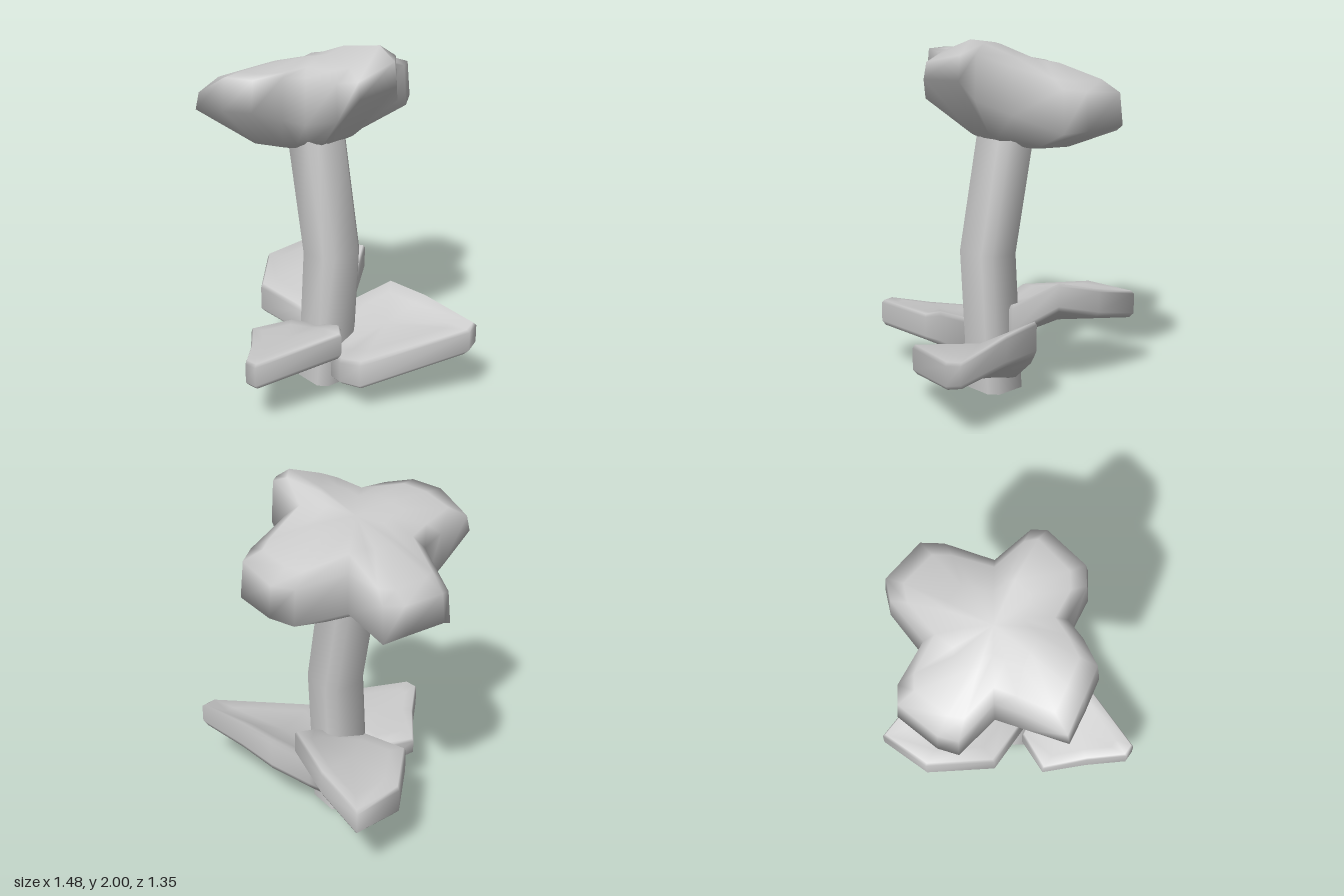
import * as THREE from 'three';
import { toCreasedNormals } from 'three/addons/utils/BufferGeometryUtils.js';

const lerp = THREE.MathUtils.lerp;
const material = new THREE.MeshStandardMaterial({ color: 0xcccccc });

// Skin a stack of closed rings (bottom to top, counter-clockwise from above) and cap both ends
function loft(rings) {
  const n = rings[0].length;
  const pos = rings.flat(2);
  const index = [];
  for (let r = 0; r < rings.length - 1; r++) {
    for (let i = 0; i < n; i++) {
      const j = (i + 1) % n, a = r * n, b = a + n;
      index.push(a + i, a + j, b + j, a + i, b + j, b + i);
    }
  }
  const cap = (r, up) => {
    const c = pos.length / 3;
    for (let k = 0; k < 3; k++) pos.push(rings[r].reduce((s, p) => s + p[k], 0) / n);
    for (let i = 0; i < n; i++) {
      const a = r * n + i, b = r * n + (i + 1) % n;
      index.push(c, up ? a : b, up ? b : a);
    }
  };
  cap(0, false);
  cap(rings.length - 1, true);
  const geo = new THREE.BufferGeometry();
  geo.setAttribute('position', new THREE.Float32BufferAttribute(pos, 3));
  geo.setIndex(index);
  geo.computeVertexNormals();
  return geo;
}

// Thick leaf with bevelled rim; outline points are [x, z, top y, thickness]
function leaf(outline) {
  const n = outline.length;
  const mid = [0, 1, 2, 3].map(k => outline.reduce((s, p) => s + p[k], 0) / n);
  const ring = (inset, depth) => outline.map(p => {
    const [x, z, y, t] = p.map((v, k) => lerp(v, mid[k], inset));
    return [x, y - t * depth, z];
  });
  return loft([ring(0.3, 1), ring(0.06, 1), ring(0, 0.85), ring(0, 0.12), ring(0.04, 0), ring(0.3, 0)]);
}

// Four-lobed head; outline points are [x, z, upper rim y, lower rim y, shoulder y]
function head() {
  const outline = [
    [0.13, 0.21, 1.85, 1.6, 1.89],
    [0.33, 0.16, 1.86, 1.66, 1.9], [0.41, 0.08, 1.87, 1.78, 1.92], [0.4, -0.18, 1.93, 1.8, 2.0], [0.34, -0.24, 1.94, 1.7, 1.98],
    [0.12, -0.29, 1.85, 1.6, 1.9],
    [0.04, -0.58, 1.76, 1.53, 1.8], [-0.04, -0.68, 1.75, 1.55, 1.79], [-0.3, -0.68, 1.72, 1.55, 1.78], [-0.37, -0.58, 1.7, 1.5, 1.76],
    [-0.42, -0.29, 1.72, 1.5, 1.8],
    [-0.66, -0.25, 1.63, 1.42, 1.68], [-0.74, -0.17, 1.64, 1.48, 1.68], [-0.72, 0.09, 1.62, 1.46, 1.68], [-0.66, 0.18, 1.58, 1.4, 1.67],
    [-0.42, 0.21, 1.72, 1.5, 1.78],
    [-0.37, 0.36, 1.74, 1.55, 1.8], [-0.3, 0.6, 1.75, 1.66, 1.82], [-0.13, 0.55, 1.86, 1.68, 1.87],
    [0.04, 0.49, 1.87, 1.7, 1.88], [0.1, 0.34, 1.87, 1.65, 1.88],
  ];
  const cx = -0.15, cz = -0.05;
  const ring = (scale, height) => outline.map(([x, z, top, low, shoulder]) => {
    const px = lerp(cx, x, scale);
    return [px, height(px, top, low, shoulder), lerp(cz, z, scale)];
  });
  const under = x => 1.375 + 0.12 * (x - cx);
  return loft([
    ring(0.25, x => under(x)),
    ring(0.5, (x, t, b) => lerp(b, under(x), 0.82)),
    ring(1, (x, t, b) => b),
    ring(0.97, (x, t) => t),
    ring(0.8, (x, t, b, s) => s),
    ring(0.4, (x, t, b, s) => lerp(s, 1.89 + 0.25 * (x - cx), 0.7)),
  ]);
}

// Bent square stalk with chamfered corners
function stem() {
  const corners = [[0.13, 0.085], [0.13, -0.085], [0.085, -0.13], [-0.085, -0.13],
    [-0.13, -0.085], [-0.13, 0.085], [-0.085, 0.13], [0.085, 0.13]];
  const ring = (x, y, tilt) => corners.map(([dx, dz]) => [x + dx, y + tilt * dx, dz - 0.03]);
  return toCreasedNormals(loft([ring(0.003, 0, 0), ring(0.055, 0.8, 0.1), ring(-0.09, 1.5, 0.2)]), 1.1);
}

export function createModel() {
  const group = new THREE.Group();
  const add = (name, geo) => {
    const mesh = new THREE.Mesh(geo, material);
    mesh.name = name;
    group.add(mesh);
  };

  add('stem', stem());
  add('flowerHead', head());

  add('leftLeaf', leaf([
    [0.14, 0.04, 0.22, 0.18], [0.3, 0.11, 0.26, 0.16], [0.48, 0.12, 0.32, 0.17],
    [0.74, -0.45, 0.44, 0.15], [0.71, -0.53, 0.45, 0.14], [0.35, -0.49, 0.5, 0.17],
    [0.09, -0.45, 0.51, 0.2], [-0.05, -0.29, 0.39, 0.2], [-0.06, -0.14, 0.29, 0.24],
  ]));

  add('rightLeaf', leaf([
    [0.03, -0.2, 0.52, 0.18], [-0.11, -0.42, 0.67, 0.16], [-0.4, -0.45, 0.58, 0.16],
    [-0.71, -0.44, 0.5, 0.16], [-0.67, -0.13, 0.5, 0.18], [-0.38, 0.14, 0.48, 0.18],
    [-0.07, 0.09, 0.43, 0.17],
  ]));

  add('frontLeaf', leaf([
    [-0.12, 0.12, 0.35, 0.18], [-0.19, 0.35, 0.34, 0.1], [0.02, 0.51, 0.37, 0.14],
    [0.19, 0.67, 0.4, 0.15], [0.26, 0.66, 0.4, 0.15], [0.36, 0.15, 0.46, 0.15],
    [0.29, 0.1, 0.47, 0.2], [0.07, 0.06, 0.38, 0.26],
  ]));

  return group;
}
